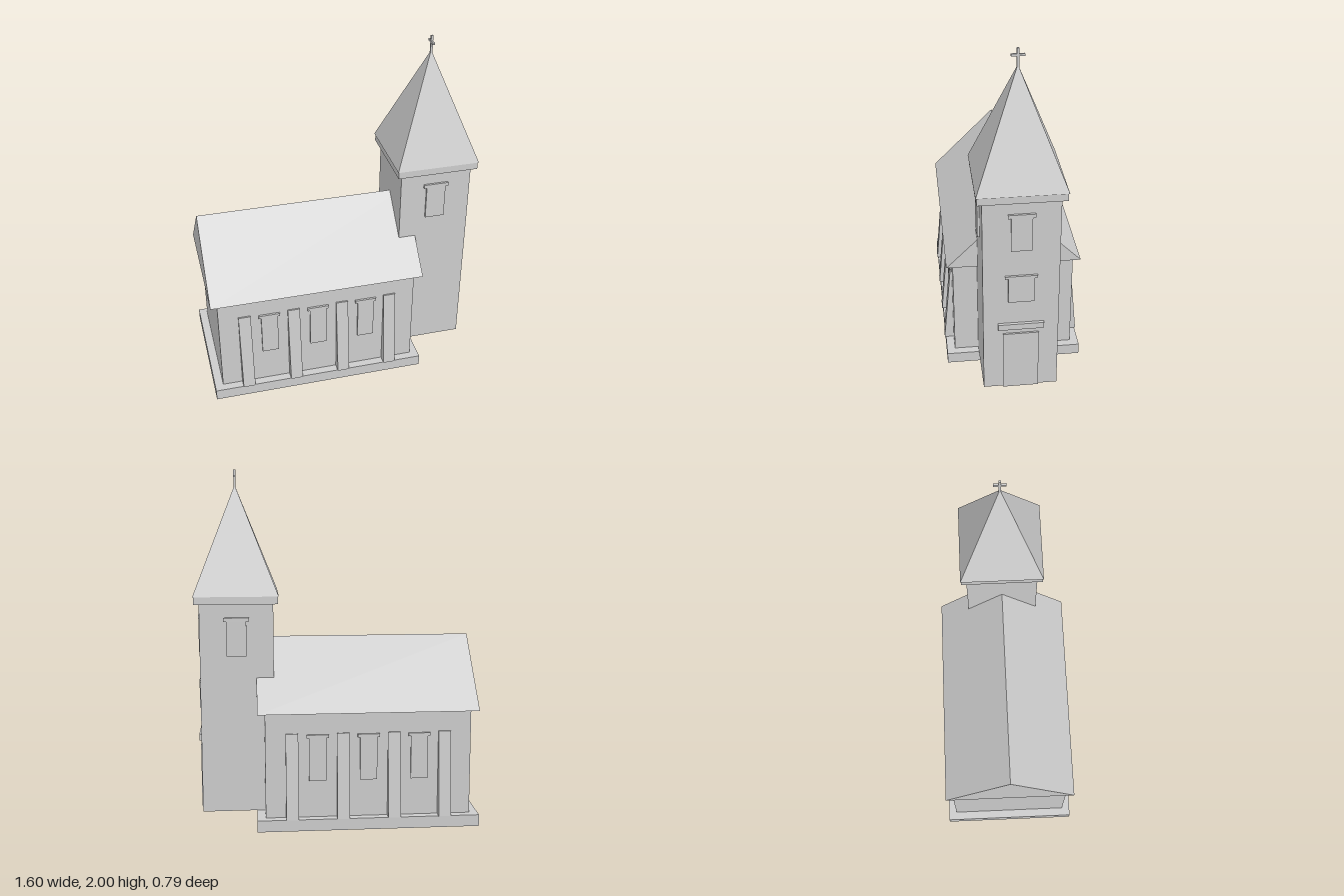
import * as THREE from 'three';

const stone = new THREE.MeshStandardMaterial({ color: 0xcccccc });
stone.name = 'stone';

// Box given by its min and max corners
function box(name, x0, x1, y0, y1, z0, z1) {
  const g = new THREE.BoxGeometry(x1 - x0, y1 - y0, z1 - z0);
  g.translate((x0 + x1) / 2, (y0 + y1) / 2, (z0 + z1) / 2);
  const m = new THREE.Mesh(g, stone);
  m.name = name;
  return m;
}

// Outline of [x, y] points extruded along +z
function slab(name, points, depth) {
  const shape = new THREE.Shape(points.map(([x, y]) => new THREE.Vector2(x, y)));
  const g = new THREE.ExtrudeGeometry(shape, { depth, bevelEnabled: false });
  const m = new THREE.Mesh(g, stone);
  m.name = name;
  return m;
}

// Raised window panel with a wider lintel, facing +z, centred on x = 0
function windowPanel(name, half, headHalf, y0, yHead, y1) {
  return slab(name, [
    [-half, y0], [half, y0], [half, yHead], [headHalf, yHead],
    [headHalf, y1], [-headHalf, y1], [-headHalf, yHead], [-half, yHead],
  ], 0.022);
}

export function createModel() {
  const church = new THREE.Group();
  church.name = 'church';
  const base = 0.066, eaves = 0.668, naveZ = 0.343;
  const towerX = 0.558, towerHalf = 0.205;

  // Plinth and nave walls
  church.add(box('plinth', -0.8, 0.454, 0, base, -0.39, 0.39));
  church.add(box('naveWalls', -0.752, 0.407, base, eaves, -naveZ, naveZ));

  // Gabled roof running along x
  const roof = slab('naveRoof', [[-0.38, eaves], [0.38, eaves], [0, 1.048]], 1.242);
  roof.rotation.y = Math.PI / 2;
  roof.position.x = -0.793;
  church.add(roof);

  // Buttresses and windows on both long sides
  for (const side of [1, -1]) {
    const flank = new THREE.Group();
    flank.name = side > 0 ? 'frontSide' : 'backSide';
    for (let i = 0; i < 4; i++) {
      const x = (-0.602 + i * 0.2867) * side;
      const buttress = slab('buttress', [
        [-0.32, base], [-0.32, 0.55], [-0.352, 0.55], [-0.397, base],
      ].reverse(), 0.07);
      buttress.rotation.y = Math.PI / 2;
      buttress.position.x = x - 0.035;
      flank.add(buttress);
      if (i < 3) {
        const win = windowPanel('naveWindow', 0.048, 0.062, 0.28, 0.525, 0.543);
        win.position.set(x + 0.1433 * side, 0, naveZ - 0.01);
        flank.add(win);
      }
    }
    flank.rotation.y = side > 0 ? 0 : Math.PI;
    church.add(flank);
  }

  // Tower shaft and cornice
  church.add(box('tower', towerX - 0.207, towerX + 0.205, base, 1.262, -towerHalf, towerHalf));
  church.add(box('towerCornice', towerX - 0.233, towerX + 0.233, 1.262, 1.305, -0.233, 0.233));

  // Belfry windows on three faces
  for (const angle of [0, Math.PI / 2, Math.PI]) {
    const face = new THREE.Group();
    face.name = 'belfryFace';
    const win = windowPanel('belfryWindow', 0.056, 0.072, 0.968, 1.165, 1.186);
    win.position.z = towerHalf - 0.01;
    face.add(win);
    face.position.x = towerX;
    face.rotation.y = angle;
    church.add(face);
  }

  // Entrance face: middle window, door and canopy
  const middle = windowPanel('middleWindow', 0.07, 0.087, 0.645, 0.795, 0.81);
  middle.rotation.y = Math.PI / 2;
  middle.position.x = towerX + towerHalf - 0.01;
  church.add(middle);
  church.add(box('door', 0.75, 0.773, base, 0.433, -0.098, 0.098));
  church.add(box('doorCanopy', 0.75, 0.78, 0.466, 0.502, -0.125, 0.125));

  // Four-sided spire
  const spireGeo = new THREE.ConeGeometry(0.238 * Math.SQRT2, 0.61, 4, 1).toNonIndexed();
  spireGeo.rotateY(Math.PI / 4);
  spireGeo.computeVertexNormals();
  const spire = new THREE.Mesh(spireGeo, stone);
  spire.name = 'spire';
  spire.position.set(towerX, 1.61, 0);
  church.add(spire);

  // Cross at the top
  const r = 0.006;
  church.add(box('crossPost', towerX - r, towerX + r, 1.87, 2, -r, r));
  church.add(box('crossArm', towerX - r, towerX + r, 1.958, 1.97, -0.035, 0.035));

  return church;
}
